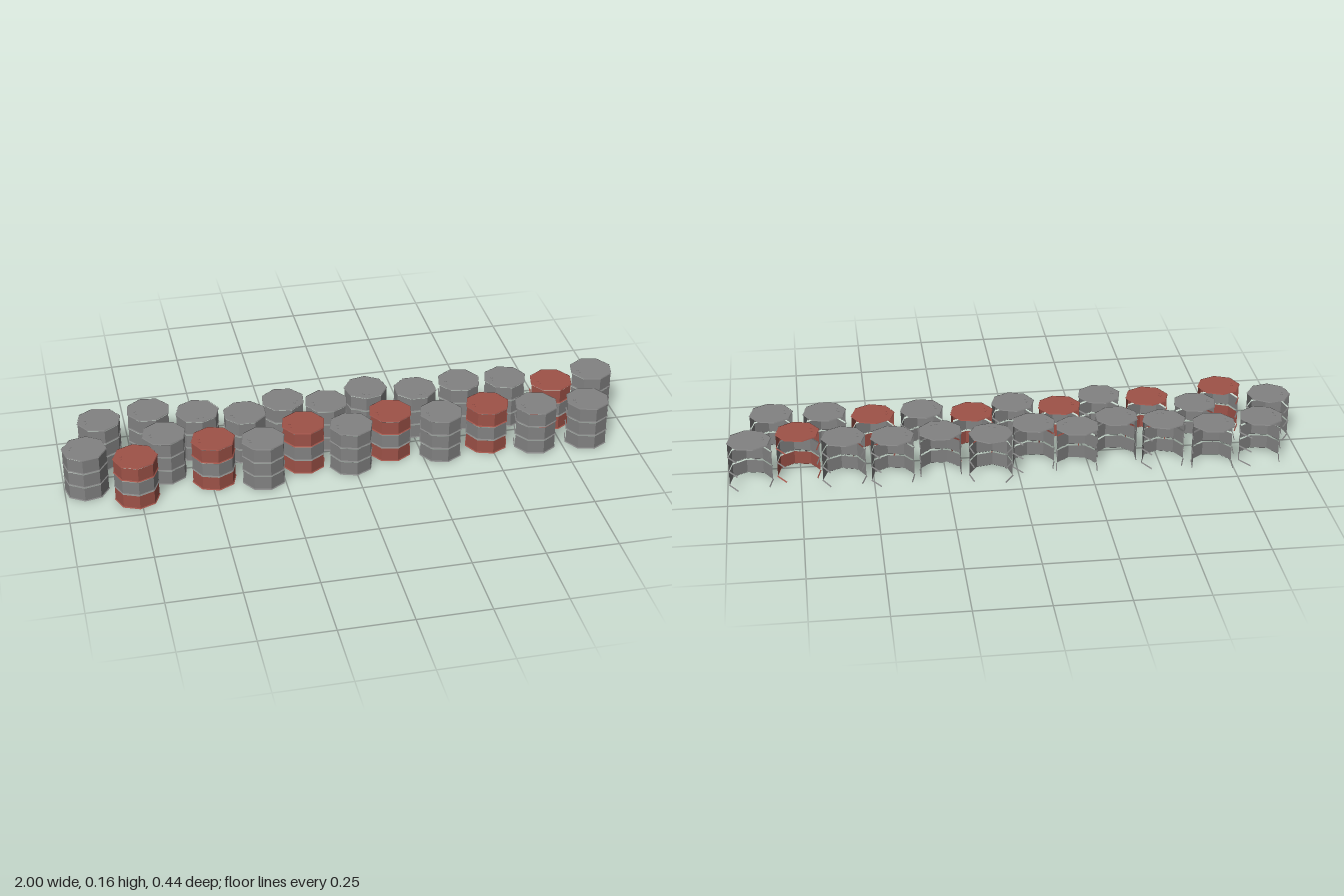
import * as THREE from 'three';

const grey = new THREE.MeshStandardMaterial({ color: 0x828282, flatShading: true, side: THREE.DoubleSide });
grey.name = 'grey steel';
const red = new THREE.MeshStandardMaterial({ color: 0x9e5248, flatShading: true, side: THREE.DoubleSide });
red.name = 'red paint';

const SIDE = Math.PI / 4;
const R = 0.078;

// Each drum: x, z, direction of the bungs in degrees from +z, red or not
const drums = [
  [-0.855, -0.12, 280, 0], [-0.68, -0.15, 285, 0], [-0.513, -0.104, 5, 0], [-0.353, -0.06, 290, 0],
  [-0.207, -0.117, 60, 0], [-0.06, -0.075, 280, 0], [0.096, -0.137, 350, 0], [0.267, -0.095, 22, 0],
  [0.433, -0.115, 280, 0], [0.6, -0.1, 275, 0], [0.755, -0.045, 280, 1], [0.92, -0.09, 280, 0],
  [-0.923, 0.055, 260, 0], [-0.647, 0.015, 280, 0], [-0.76, 0.14, 270, 1], [-0.487, 0.085, 275, 1],
  [-0.32, 0.12, 280, 0], [-0.167, 0.05, 280, 1], [-0.007, 0.095, 275, 0], [0.145, 0.037, 280, 1],
  [0.317, 0.08, 278, 0], [0.49, 0.06, 275, 1], [0.657, 0.098, 280, 0], [0.843, 0.107, 278, 0],
];

function add(group, name, geometry, material, y = 0) {
  const mesh = new THREE.Mesh(geometry, material);
  mesh.name = name;
  mesh.position.y = y;
  group.add(mesh);
  return mesh;
}

// Run of octagon sides around the front whose outward z is above the limit
function arc(phase, limit) {
  const keep = [];
  for (let i = -4; i < 4; i++) {
    if (Math.cos(phase + (i + 0.5) * SIDE) > limit) keep.push(i);
  }
  return { start: phase + keep[0] * SIDE, count: keep.length };
}

function shell(rTop, rBottom, height, { start, count }) {
  return new THREE.CylinderGeometry(rTop, rBottom, height, count, 1, true, start, count * SIDE);
}

function makeDrum(x, z, degrees, isRed) {
  const drum = new THREE.Group();
  drum.name = isRed ? 'redDrum' : 'greyDrum';
  drum.position.set(x, 0, z);
  const bungAngle = THREE.MathUtils.degToRad(degrees);
  const phase = bungAngle - Math.round(bungAngle / SIDE) * SIDE;
  const wallArc = arc(phase, -0.1);
  const lipArc = arc(phase, -0.55);
  const paint = isRed ? red : grey;

  // Three wall bands, each standing on a thin flared lip
  for (let i = 0; i < 3; i++) {
    const material = i === 1 ? grey : paint;
    const base = i * 0.054;
    add(drum, 'wallBand', shell(R - 0.003, R - 0.003, 0.047, wallArc), material, base + 0.0265);
    add(drum, 'lip', shell(R - 0.004, R, 0.003, lipArc), material, base + 0.0015);
  }

  // Lid with a raised rim and two bungs
  const lid = new THREE.CircleGeometry(R - 0.002, 8).rotateX(-Math.PI / 2).rotateY(phase);
  add(drum, 'lid', lid, paint, 0.1625);
  const rim = new THREE.CylinderGeometry(R - 0.002, R, 0.003, 8, 1, true, phase);
  add(drum, 'lidRim', rim, paint, 0.1625);
  [[-0.18, 0.048, 0.005], [0.2, 0.05, 0.003]].forEach(([offset, reach, radius]) => {
    const bung = add(drum, 'bung', new THREE.CylinderGeometry(radius, radius, 0.002, 6), paint, 0.1635);
    bung.position.x = Math.sin(bungAngle + offset) * reach;
    bung.position.z = Math.cos(bungAngle + offset) * reach;
  });
  return drum;
}

export function createModel() {
  const model = new THREE.Group();
  model.name = 'drumBarrier';
  drums.forEach((d) => model.add(makeDrum(...d)));
  return model;
}
